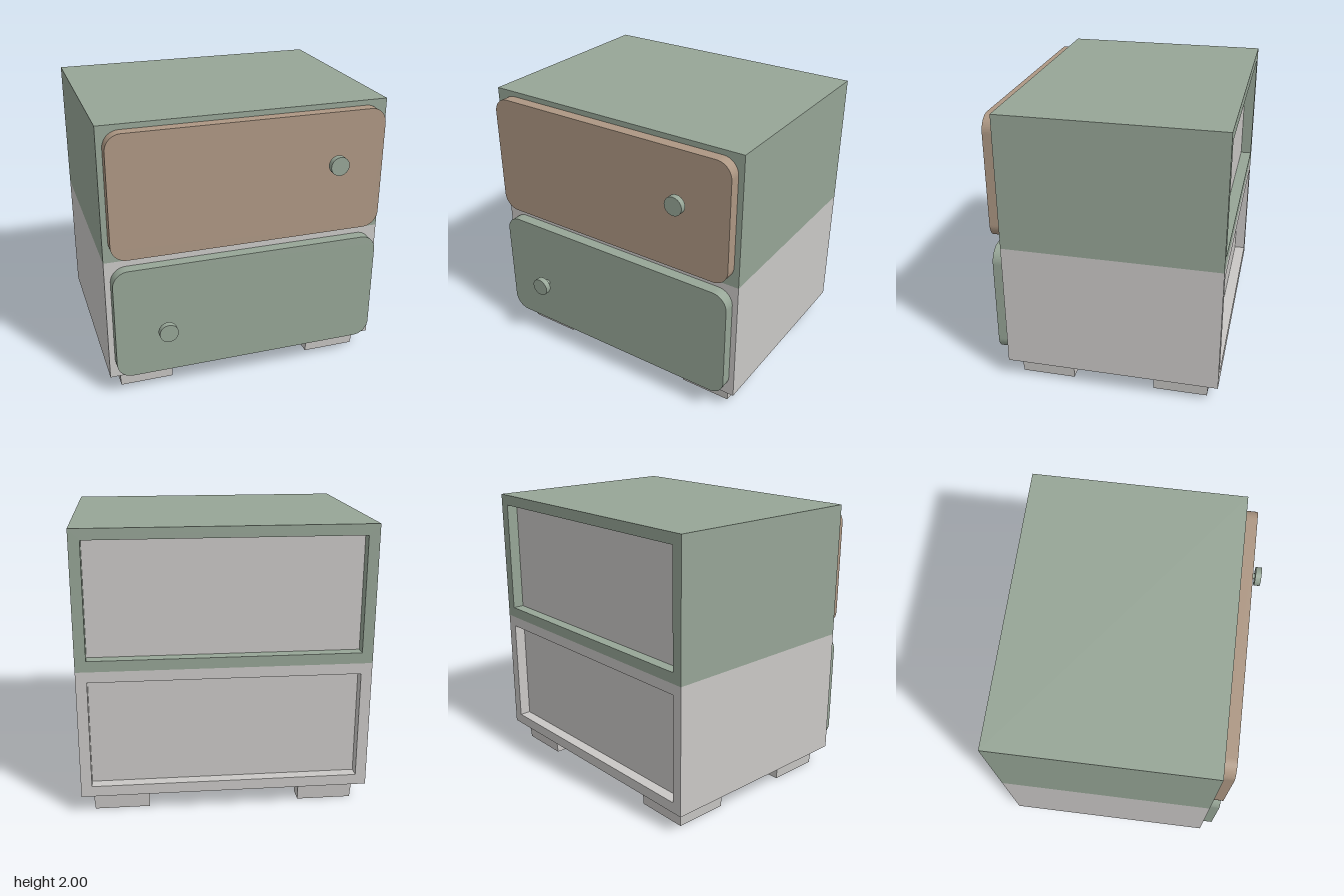
import * as THREE from 'three';

const mat = (name, color) => {
  const m = new THREE.MeshStandardMaterial({ color });
  m.name = name;
  return m;
};

export function createModel() {
  const green = mat('sage green', 0x96a596);
  const grey = mat('warm light grey', 0xcac8c6);
  const tan = mat('tan', 0xad9783);

  const model = new THREE.Group();
  model.name = 'nightstand';
  const add = (parent, name, geometry, material, x = 0, y = 0, z = 0) => {
    const mesh = new THREE.Mesh(geometry, material);
    mesh.name = name;
    mesh.position.set(x, y, z);
    parent.add(mesh);
    return mesh;
  };

  const BACK = -0.84, FRONT = 0.67, WALL = 0.075, RECESS = 0.08;

  const rect = (target, x0, y0, x1, y1) => {
    target.moveTo(x0, y0);
    target.lineTo(x1, y0);
    target.lineTo(x1, y1);
    target.lineTo(x0, y1);
    target.closePath();
    return target;
  };

  // Box shell, open front to back
  const shell = (y0, y1) => {
    const s = rect(new THREE.Shape(), -1, y0, 1, y1);
    s.holes.push(rect(new THREE.Path(), -1 + WALL, y0 + WALL, 1 - WALL, y1 - WALL));
    return new THREE.ExtrudeGeometry(s, { depth: FRONT - BACK, bevelEnabled: false });
  };

  // Drawer front with rounded corners
  const drawerFront = (y0, y1) => {
    const w = 0.96, r = 0.11, s = new THREE.Shape();
    s.moveTo(-w + r, y0);
    s.lineTo(w - r, y0);
    s.absarc(w - r, y0 + r, r, -Math.PI / 2, 0);
    s.absarc(w - r, y1 - r, r, 0, Math.PI / 2);
    s.absarc(-w + r, y1 - r, r, Math.PI / 2, Math.PI);
    s.absarc(-w + r, y0 + r, r, Math.PI, Math.PI * 1.5);
    return new THREE.ExtrudeGeometry(s, { depth: 0.08, bevelEnabled: false, curveSegments: 8 });
  };

  // Two stacked units: shell, recessed back panel, drawer front and knob
  const units = [
    { name: 'upper', y0: 1.05, y1: 2, d0: 1.09, d1: 1.963, body: green, door: tan, kx: 0.6, ky: 1.61 },
    { name: 'lower', y0: 0.14, y1: 1.05, d0: 0.18, d1: 1.007, body: grey, door: green, kx: -0.605, ky: 0.533 },
  ];
  for (const u of units) {
    const g = new THREE.Group();
    g.name = u.name + 'Unit';
    model.add(g);
    add(g, u.name + 'Shell', shell(u.y0, u.y1), u.body, 0, 0, BACK);
    add(g, u.name + 'BackPanel',
      new THREE.BoxGeometry(2 - 2 * WALL, u.y1 - u.y0 - 2 * WALL, 0.04), grey,
      0, (u.y0 + u.y1) / 2, BACK + RECESS + 0.02);
    add(g, u.name + 'DrawerFront', drawerFront(u.d0, u.d1), u.door, 0, 0, FRONT);
    add(g, u.name + 'KnobStem', new THREE.CylinderGeometry(0.02, 0.02, 0.06, 24), green,
      u.kx, u.ky, 0.775).rotation.x = Math.PI / 2;
    add(g, u.name + 'KnobCap', new THREE.CylinderGeometry(0.066, 0.066, 0.042, 32), green,
      u.kx, u.ky, 0.819).rotation.x = Math.PI / 2;
  }

  // L-shaped corner foot with two screw holes; outer faces taper towards the floor
  const h = 0.196, arm = 0.13, mid = h - arm / 2;
  const foot = new THREE.Shape();
  foot.moveTo(h, h);
  foot.lineTo(-h, h);
  foot.lineTo(-h, h - arm);
  foot.lineTo(h - arm, h - arm);
  foot.lineTo(h - arm, -h);
  foot.lineTo(h, -h);
  foot.closePath();
  for (const [x, y] of [[-0.04, mid], [mid, -0.04]]) {
    foot.holes.push(new THREE.Path().absarc(x, y, 0.028, 0, Math.PI * 2, true));
  }
  const footGeo = new THREE.ExtrudeGeometry(foot, { depth: 0.14, bevelEnabled: false, curveSegments: 8 });
  const p = footGeo.attributes.position;
  for (let i = 0; i < p.count; i++) {
    if (p.getZ(i) > 0.01) continue;
    if (p.getX(i) > h - 0.001) p.setX(i, h - 0.01);
    if (p.getY(i) > h - 0.001) p.setY(i, h - 0.01);
  }
  footGeo.rotateX(-Math.PI / 2);
  footGeo.computeVertexNormals();

  const corners = [['backLeftFoot', 1, -1], ['backRightFoot', -1, -1], ['frontRightFoot', -1, 1], ['frontLeftFoot', 1, 1]];
  corners.forEach(([name, sx, sz], i) => {
    add(model, name, footGeo, grey, sx * 0.726, 0, -0.085 + sz * 0.488).rotation.y = i * Math.PI / 2;
  });

  return model;
}
